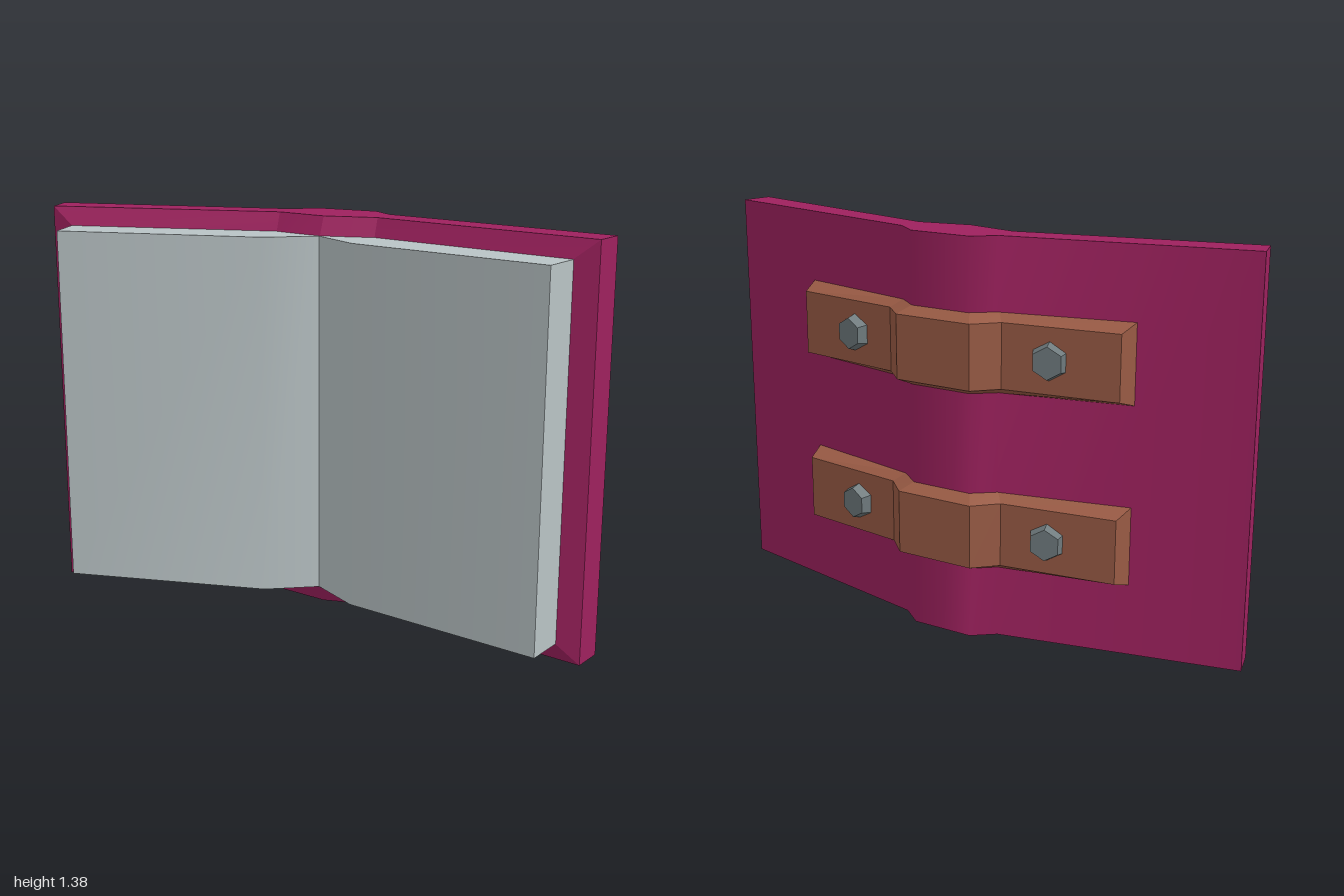
import * as THREE from 'three';
import { toCreasedNormals } from 'three/addons/utils/BufferGeometryUtils.js';

const material = (name, color) => {
  const m = new THREE.MeshStandardMaterial({ color });
  m.name = name;
  return m;
};

// complete a left half-profile (ending on x = 0) with its mirror image
const mirror = (half) => [...half, ...half.slice(0, -1).reverse().map(([x, z]) => [-x, z])];

// solid between a back and a front profile of [x, z] points, each with its own y range
function slab(back, front, backY, frontY, crease) {
  const pos = [];
  const quad = (a, b, c, d) => pos.push(...a, ...b, ...c, ...a, ...c, ...d);
  const B = (i, t) => [back[i][0], backY[t], back[i][1]];
  const F = (i, t) => [front[i][0], frontY[t], front[i][1]];
  const n = back.length - 1;
  for (let i = 0; i < n; i++) {
    quad(F(i, 0), F(i + 1, 0), F(i + 1, 1), F(i, 1));
    quad(B(i + 1, 0), B(i, 0), B(i, 1), B(i + 1, 1));
    quad(F(i, 1), F(i + 1, 1), B(i + 1, 1), B(i, 1));
    quad(B(i, 0), B(i + 1, 0), F(i + 1, 0), F(i, 0));
  }
  quad(B(0, 0), F(0, 0), F(0, 1), B(0, 1));
  quad(F(n, 0), B(n, 0), B(n, 1), F(n, 1));
  const g = new THREE.BufferGeometry();
  g.setAttribute('position', new THREE.Float32BufferAttribute(pos, 3));
  return toCreasedNormals(g, crease);
}

export function createModel() {
  const model = new THREE.Group();
  model.name = 'openBook';
  const coverMat = material('crimson cover', 0x9e215e);
  const pageMat = material('pale paper', 0xb9c3c5);
  const strapMat = material('brown leather', 0x985a44);
  const boltMat = material('grey metal', 0x6e797c);

  const add = (name, geometry, mat, parent = model) => {
    const mesh = new THREE.Mesh(geometry, mat);
    mesh.name = name;
    parent.add(mesh);
    return mesh;
  };

  const fullY = [0, 1.375], pageY = [0.065, 1.312];
  const coverBack = mirror([[-1, 0.016], [-0.185, -0.16], [-0.11, -0.22], [0, -0.22]]);
  const coverFront = mirror([[-0.975, 0.12], [-0.18, -0.065], [-0.1, -0.05], [0, -0.03]]);
  const inset = mirror([[-0.895, 0.13], [-0.18, -0.04], [-0.1, -0.02], [0, 0]]);

  // cover with a shallow bevelled rim rising to the pages
  add('cover', slab(coverBack, coverFront, fullY, fullY, 0.75), coverMat);
  add('coverRim', slab(coverFront, inset, fullY, pageY, 0.1), coverMat);

  // page block, meeting in a valley at the middle
  const pageBack = mirror([[-0.897, 0.128], [-0.18, -0.042], [0, -0.01]]);
  const pageFront = mirror([[-0.865, 0.265], [-0.165, 0.11], [0, 0.006]]);
  add('pages', slab(pageBack, pageFront, pageY, pageY, 0.6), pageMat);

  // two bevelled straps over the spine, each held by two hexagonal bolts
  const strapOuter = mirror([[-0.61, -0.138], [-0.215, -0.194], [-0.14, -0.268], [0, -0.268]]);
  const strapBase = mirror([[-0.627, -0.064], [-0.185, -0.158], [-0.11, -0.218], [0, -0.218]]);
  const boltGeometry = new THREE.CylinderGeometry(0.054, 0.073, 0.06, 6).toNonIndexed();
  boltGeometry.computeVertexNormals();
  for (const y of [0.383, 0.995]) {
    const clasp = new THREE.Group();
    clasp.name = 'clasp';
    clasp.position.y = y;
    model.add(clasp);
    add('strap', slab(strapOuter, strapBase, [-0.11, 0.11], [-0.135, 0.135], 0.1), strapMat, clasp);
    for (const side of [-1, 1]) {
      const bolt = add('bolt', boltGeometry, boltMat, clasp);
      bolt.position.set(side * 0.378, 0, -0.172);
      // lay the axis back along -z, then lean it outward with the cover
      bolt.rotation.set(-Math.PI / 2, -side * 0.21, 0, 'YXZ');
    }
  }
  return model;
}
